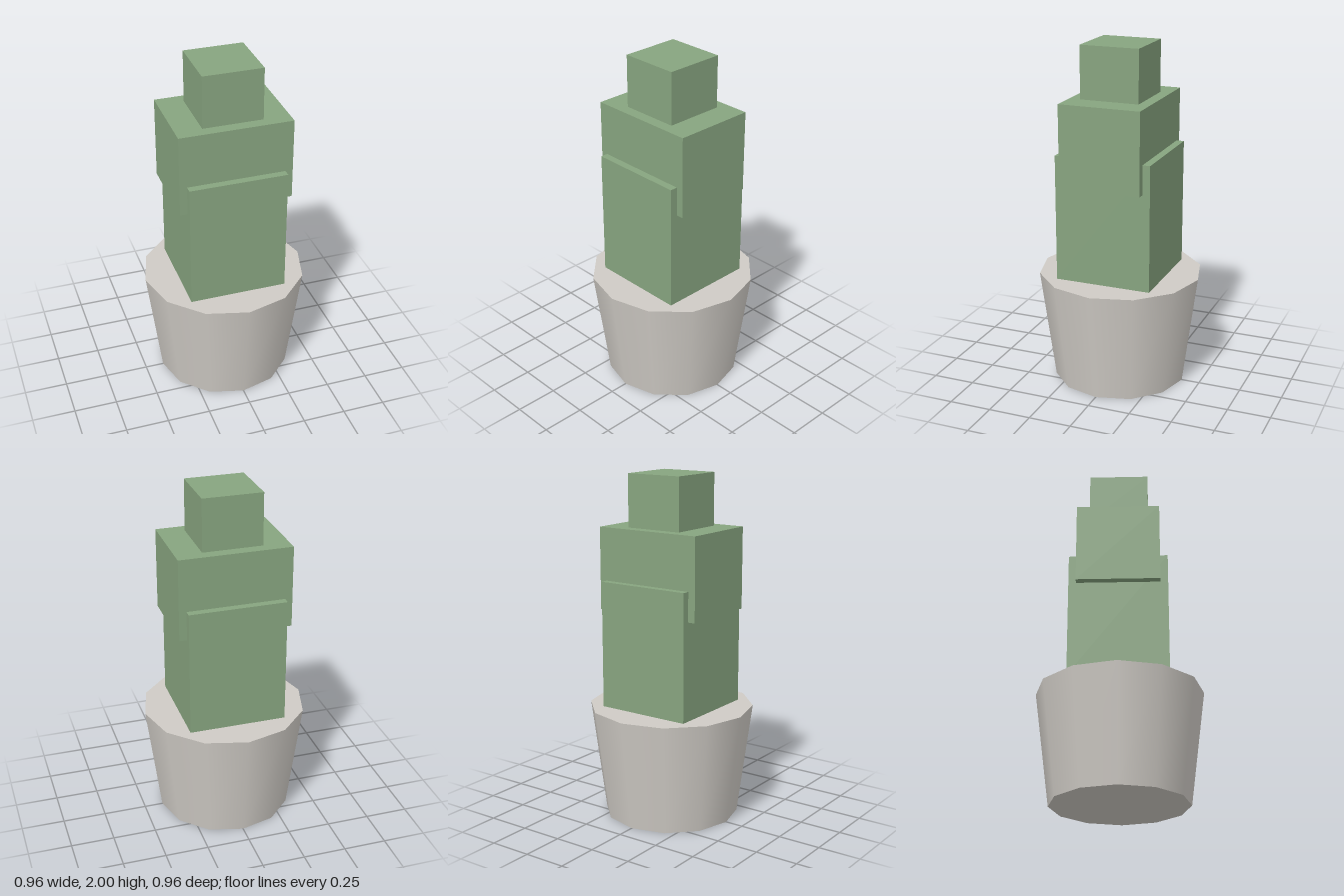
import * as THREE from 'three';

export function createModel() {
  const model = new THREE.Group();
  const potMaterial = new THREE.MeshStandardMaterial({ color: 0xcfcbc5 });
  const plantMaterial = new THREE.MeshStandardMaterial({ color: 0x87a47f });

  // Tapered twelve-sided pot, smooth around the wall
  const potHeight = 0.655;
  const pot = new THREE.Mesh(new THREE.CylinderGeometry(0.478, 0.392, potHeight, 12), potMaterial);
  pot.name = 'pot';
  pot.position.y = potHeight / 2;
  model.add(pot);

  // Blocky cactus: each block is width, depth, bottom and top
  const blocks = [
    ['cactusStem', 0.566, 0.566, potHeight, 1.392],
    ['cactusMiddle', 0.652, 0.478, 1.222, 1.697],
    ['cactusTip', 0.346, 0.346, 1.697, 2],
  ];
  for (const [name, width, depth, bottom, top] of blocks) {
    const block = new THREE.Mesh(new THREE.BoxGeometry(width, top - bottom, depth), plantMaterial);
    block.name = name;
    block.position.y = (bottom + top) / 2;
    model.add(block);
  }

  return model;
}
